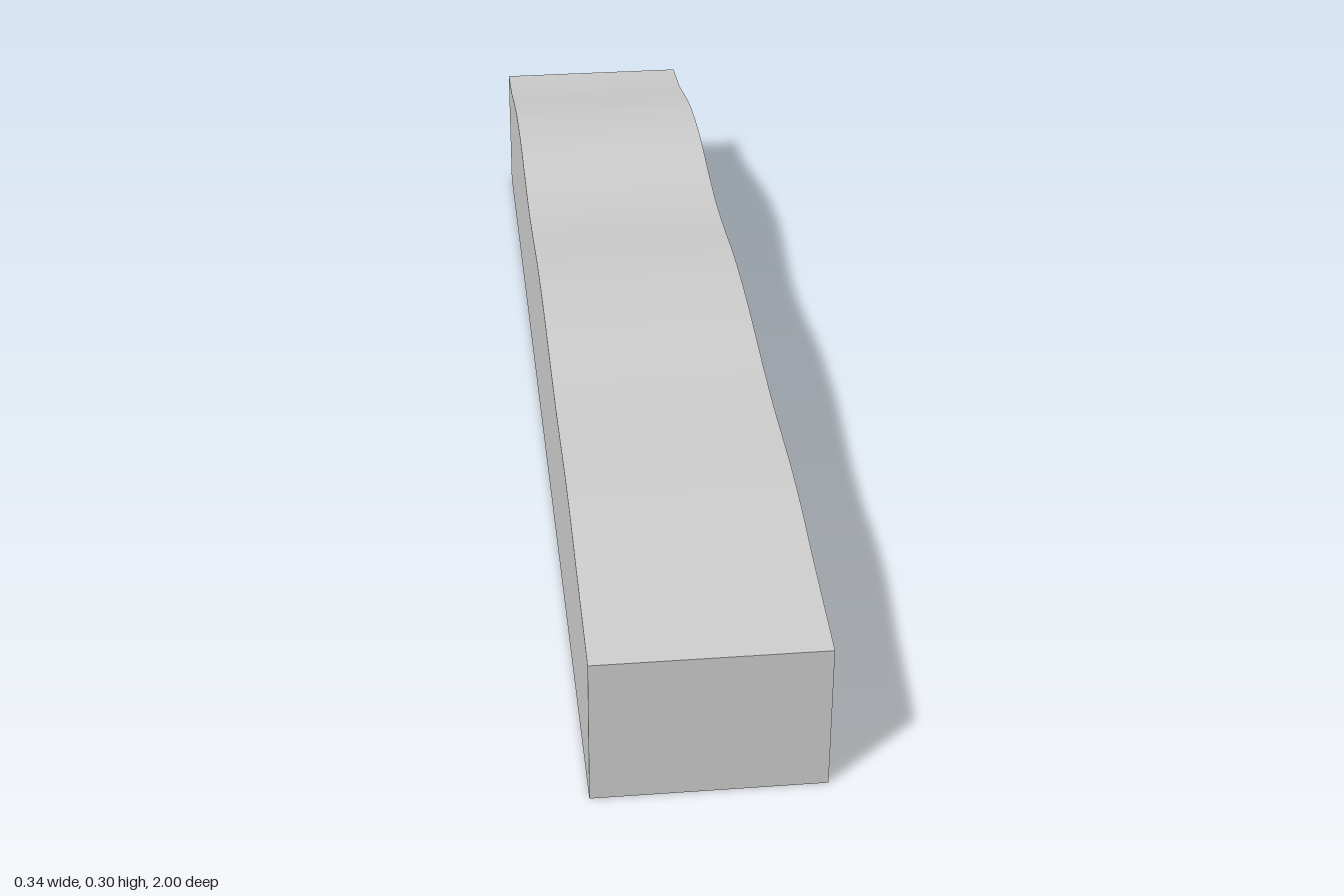
import * as THREE from 'three';
import { toCreasedNormals } from 'three/addons/utils/BufferGeometryUtils.js';

const WIDTH = 0.345;

// Height of the wavy top along the length: [z, y], front to back
const CREST = [
  [0.8, 0.258], [0.7, 0.272], [0.6, 0.279], [0.5, 0.278], [0.4, 0.277], [0.3, 0.282],
  [0.15, 0.294], [0.03, 0.298], [-0.08, 0.294], [-0.2, 0.282], [-0.3, 0.277],
  [-0.4, 0.282], [-0.5, 0.292], [-0.59, 0.296], [-0.7, 0.289],
];

export function createModel() {
  const group = new THREE.Group();
  group.name = 'wavyBlock';

  // Side outline: flat base, straight slopes at both ends, smooth waves between
  const outline = new THREE.Shape();
  outline.moveTo(-1, 0);
  outline.lineTo(1, 0);
  outline.lineTo(1, 0.237);
  outline.lineTo(...CREST[0]);
  outline.splineThru(CREST.slice(1).map(([z, y]) => new THREE.Vector2(z, y)));
  outline.lineTo(-0.8, 0.269);
  outline.lineTo(-0.89, 0.247);
  outline.lineTo(-1, 0.237);
  outline.closePath();

  // Extrude across the width, then turn the outline to run along z
  const geometry = new THREE.ExtrudeGeometry(outline, {
    depth: WIDTH, bevelEnabled: false, curveSegments: 4,
  });
  geometry.translate(0, 0, -WIDTH / 2);
  geometry.rotateY(-Math.PI / 2);

  const block = new THREE.Mesh(
    toCreasedNormals(geometry, 0.5),
    new THREE.MeshStandardMaterial({ color: 0xcccccc }),
  );
  block.name = 'block';
  group.add(block);
  return group;
}
